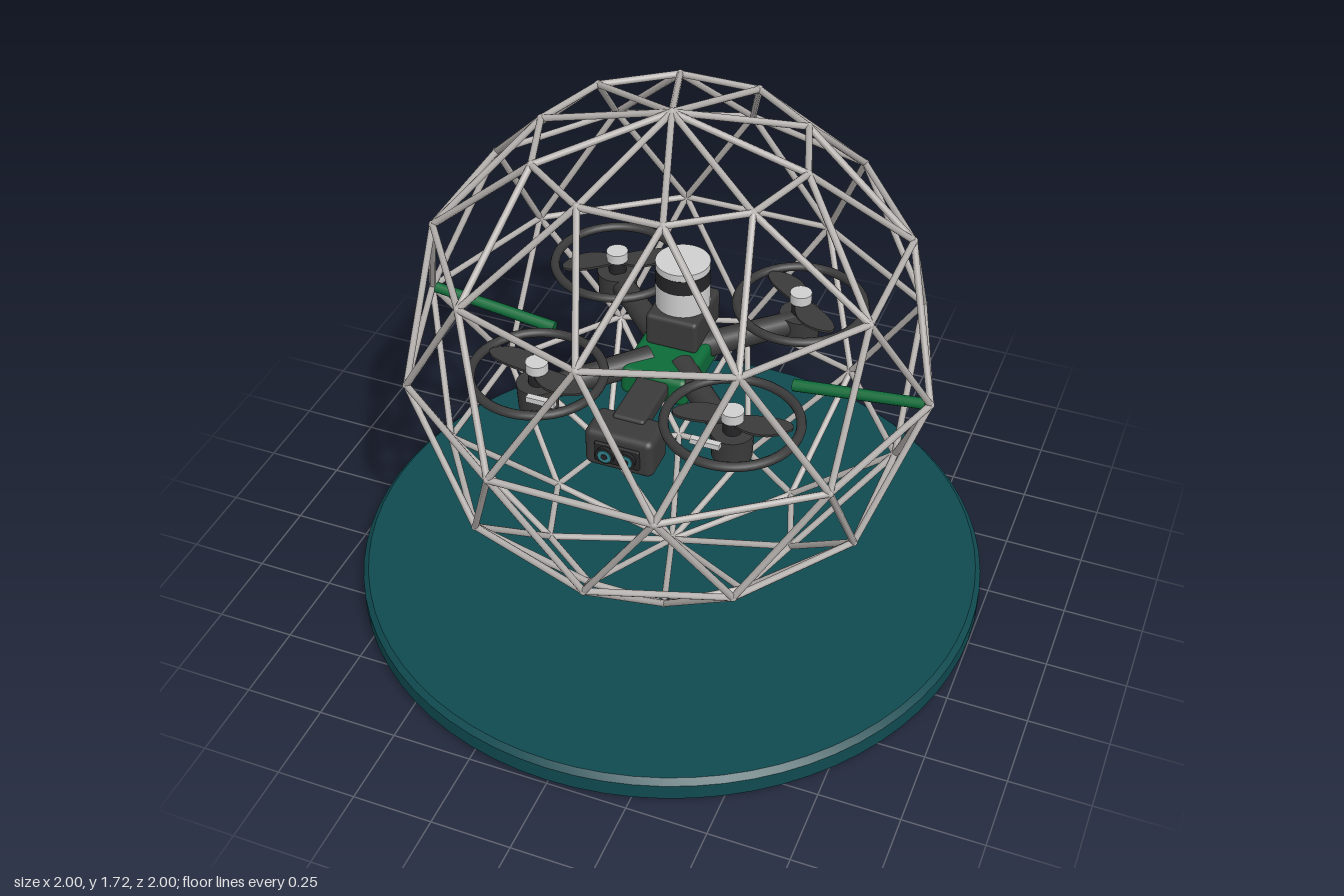
import * as THREE from 'three';
import { RoundedBoxGeometry } from 'three/addons/geometries/RoundedBoxGeometry.js';
import { toCreasedNormals } from 'three/addons/utils/BufferGeometryUtils.js';

const mat = (name, color) => {
  const m = new THREE.MeshStandardMaterial({ color });
  m.name = name;
  return m;
};

export function createModel() {
  const teal = mat('deep teal', 0x0f4a50);
  const silver = mat('cage grey', 0xb4b0ad);
  const dark = mat('charcoal', 0x3a3a3b);
  const black = mat('near black', 0x252527);
  const green = mat('green', 0x0c6b38);
  const light = mat('light grey', 0xcfcfcf);
  const glass = mat('lens blue', 0x2f8590);

  const model = new THREE.Group();
  model.name = 'cagedDrone';
  const V = (x, y, z) => new THREE.Vector3(x, y, z);
  const add = (parent, name, geo, material, x = 0, y = 0, z = 0) => {
    const m = new THREE.Mesh(geo, material);
    m.name = name;
    m.position.set(x, y, z);
    parent.add(m);
    return m;
  };
  const group = (name) => {
    const g = new THREE.Group();
    g.name = name;
    model.add(g);
    return g;
  };
  // Cylinder running from a to b
  const rod = (parent, name, a, b, ra, rb, sides, material) => {
    const d = b.clone().sub(a);
    const m = add(parent, name, new THREE.CylinderGeometry(rb, ra, d.length(), sides), material);
    m.position.copy(a).addScaledVector(d, 0.5);
    m.quaternion.setFromUnitVectors(V(0, 1, 0), d.normalize());
    return m;
  };

  // Round base with bevelled rim
  const rim = [[0, 0], [0.985, 0], [1, 0.015], [1, 0.068], [0.983, 0.085], [0, 0.085]]
    .map(([x, y]) => new THREE.Vector2(x, y));
  add(model, 'base', toCreasedNormals(new THREE.LatheGeometry(rim, 72), 0.5), teal);

  // Spherical cage: rings every 30 degrees, alternately turned by half a step
  const cage = group('cage');
  const R = 0.804, CY = 0.905, N = 10, T = 0.0105;
  const rings = [60, 30, 0, -30, -60].map((deg, k) => {
    const lat = THREE.MathUtils.degToRad(deg);
    return Array.from({ length: N }, (_, i) => {
      const a = (i + (k % 2) / 2) * Math.PI * 2 / N;
      return V(R * Math.cos(lat) * Math.cos(a), CY + R * Math.sin(lat), R * Math.cos(lat) * Math.sin(a));
    });
  });
  const poles = [V(0, CY + R, 0), V(0, CY - R, 0)];
  const strut = (a, b) => rod(cage, 'cageStrut', a, b, T, T, 8, silver);
  const nodeGeo = new THREE.SphereGeometry(0.0125, 8, 6);
  const node = (p) => add(cage, 'cageNode', nodeGeo, silver, p.x, p.y, p.z);
  poles.forEach(node);
  rings.forEach((ring, k) => ring.forEach((p, i) => {
    node(p);
    strut(p, ring[(i + 1) % N]);
    if (k === 0) strut(p, poles[0]);
    if (k === 4) strut(p, poles[1]);
    if (k < 4) {
      const j = k % 2 ? i + 1 : i + N - 1;
      strut(p, rings[k + 1][i]);
      strut(p, rings[k + 1][j % N]);
    }
  }));

  // Green hull
  const body = group('body');
  add(body, 'hull', new RoundedBoxGeometry(0.214, 0.095, 0.32, 3, 0.022), green, 0, 0.848, 0);

  // Scanner on its mount
  const scanner = group('scanner');
  add(scanner, 'scannerMount', new RoundedBoxGeometry(0.165, 0.11, 0.21, 2, 0.014), dark, 0, 0.945, -0.092);
  const drum = (name, r, y0, y1, m) =>
    add(scanner, name, new THREE.CylinderGeometry(r, r, y1 - y0, 32), m, 0, (y0 + y1) / 2, -0.09);
  drum('scannerBase', 0.083, 1.0, 1.08, light);
  drum('scannerBand', 0.084, 1.08, 1.13, black);
  drum('scannerCap', 0.083, 1.13, 1.152, light);

  // Camera with two lenses below the nose
  const camera = group('camera');
  add(camera, 'cameraNeck', new RoundedBoxGeometry(0.1, 0.05, 0.22, 2, 0.01), dark, 0, 0.855, 0.24);
  add(camera, 'cameraHousing', new RoundedBoxGeometry(0.214, 0.13, 0.125, 3, 0.022), dark, 0, 0.805, 0.367);
  add(camera, 'cameraFace', new RoundedBoxGeometry(0.14, 0.07, 0.012, 2, 0.005), black, 0, 0.805, 0.432);
  for (const s of [-1, 1]) {
    const disc = (name, r, z0, z1, m) => {
      const c = add(camera, name, new THREE.CylinderGeometry(r, r, z1 - z0, 24), m, s * 0.033, 0.805, (z0 + z1) / 2);
      c.rotation.x = Math.PI / 2;
    };
    disc('lensBarrel', 0.028, 0.425, 0.449, black);
    disc('lensGlass', 0.021, 0.446, 0.452, glass);
    disc('lensPupil', 0.010, 0.450, 0.454, black);
    // Front lamp
    add(camera, 'frontLamp', new THREE.BoxGeometry(0.09, 0.018, 0.02), light, s * 0.255, 0.9, 0.39);
  }

  // Broad two-bladed propeller
  const bladeShape = new THREE.Shape();
  bladeShape.moveTo(0, -0.018);
  bladeShape.bezierCurveTo(0.05, -0.075, 0.13, -0.07, 0.175, -0.015);
  bladeShape.bezierCurveTo(0.185, 0.02, 0.12, 0.035, 0, 0.018);
  const bladeGeo = new THREE.ExtrudeGeometry(bladeShape, { depth: 0.008, bevelEnabled: false, curveSegments: 10 });
  bladeGeo.rotateX(-Math.PI / 2);

  // Four rotors with arms, motors and ring guards
  const M = 0.305;
  for (const sx of [-1, 1]) for (const sz of [-1, 1]) {
    const rotor = group('rotor');
    const x = sx * M, z = sz * M;
    rod(rotor, 'arm', V(sx * 0.05, 0.868, sz * 0.05), V(x, 0.862, z), 0.042, 0.036, 16, dark);
    add(rotor, 'motor', new THREE.CylinderGeometry(0.064, 0.06, 0.085, 28), dark, x, 0.852, z);
    add(rotor, 'motorShaft', new THREE.CylinderGeometry(0.028, 0.028, 0.06, 16), black, x, 0.915, z);
    add(rotor, 'hubCap', new THREE.CylinderGeometry(0.034, 0.034, 0.032, 20), light, x, 0.954, z);
    const guard = add(rotor, 'guardRing', new THREE.TorusGeometry(0.197, 0.0145, 10, 48), dark, x, 0.927, z);
    guard.rotation.x = Math.PI / 2;
    const turn = sz > 0 ? sx * 0.2 : -sx * 0.65;
    for (const k of [0, 1])
      add(rotor, 'blade', bladeGeo, dark, x, 0.931, z).rotation.y = turn + k * Math.PI;
  }

  // Green side rods reaching in from the cage
  for (const s of [-1, 1])
    rod(model, 'sideRod', V(s * 0.79, 0.905, 0), V(s * 0.388, 0.858, 0), 0.017, 0.019, 12, green);

  return model;
}
